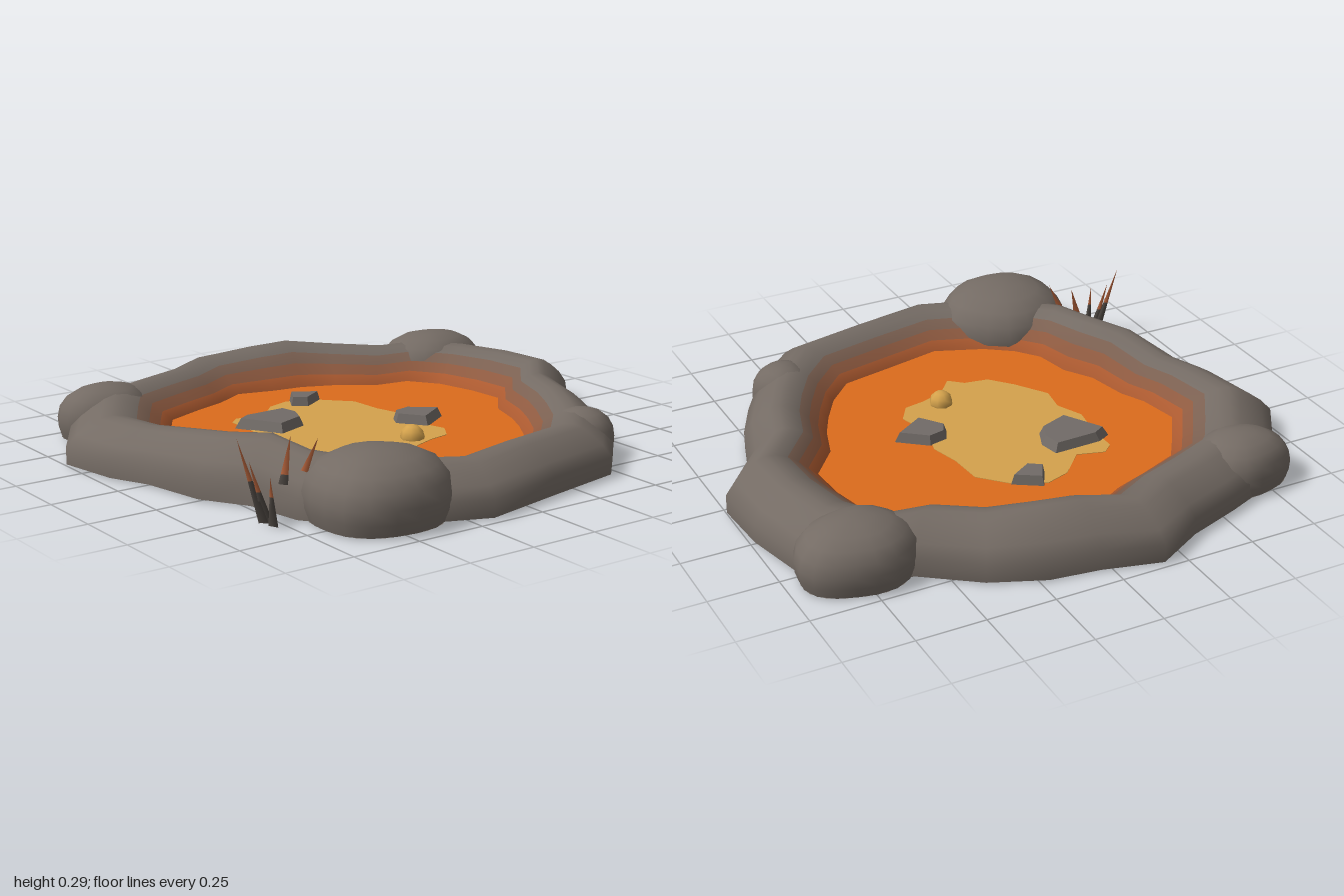
import * as THREE from 'three';
import { mergeVertices } from 'three/addons/utils/BufferGeometryUtils.js';

const material = (name, color, side = THREE.FrontSide) => {
  const m = new THREE.MeshStandardMaterial({ color, side });
  m.name = name;
  return m;
};

// Rim footprint: x, z and crest height, clockwise from the back
const OUTLINE = [
  [-0.17, -0.98, 0.17], [0.04, -0.925, 0.193], [0.22, -0.9, 0.2], [0.41, -0.82, 0.18], [0.6, -0.68, 0.172],
  [0.81, -0.65, 0.172], [0.93, -0.48, 0.172], [0.985, -0.25, 0.178], [1, -0.03, 0.18], [0.845, 0.16, 0.175],
  [0.78, 0.36, 0.17], [0.705, 0.51, 0.165], [0.6, 0.68, 0.162], [0.45, 0.835, 0.162], [0.14, 0.9, 0.165],
  [-0.175, 0.97, 0.16], [-0.45, 0.86, 0.17], [-0.6, 0.75, 0.18], [-0.7, 0.62, 0.19], [-0.74, 0.41, 0.213],
  [-0.84, 0.25, 0.2], [-0.89, 0.01, 0.175], [-0.957, -0.13, 0.168], [-1, -0.36, 0.165], [-0.87, -0.57, 0.165],
  [-0.77, -0.72, 0.165], [-0.55, -0.81, 0.165], [-0.35, -0.88, 0.165],
];
const LAVA_Y = 0.055;
// Rim cross-section: ratio of the distance from the centre, and height as a share
// of the crest (outer half) or of the step from lava to crest (inner half)
const SECTION = [
  [1, 0], [1, 0.38], [0.965, 0.62], [0.925, 0.8], [0.885, 0.94], [0.85, 1], [0.81, 0.96],
  [0.765, 0.8], [0.725, 0.55], [0.69, 0.28], [0.655, 0], [0.65, -0.27],
];
const BAND_MATERIAL = [0, 0, 0, 0, 0, 0, 0, 1, 2, 3, 4];

function flatShape(points, scale = 1) {
  return new THREE.Shape(points.map(([x, z]) => new THREE.Vector2(x * scale, -z * scale)));
}

// Sweeps the section round the outline; each band gets its own material index
function rimGeometry() {
  const n = OUTLINE.length, pos = [], index = [];
  const g = new THREE.BufferGeometry();
  for (const [k, h] of SECTION)
    for (const [x, z, top] of OUTLINE)
      pos.push(x * k, k < 0.85 ? LAVA_Y + (top - LAVA_Y) * h : top * h, z * k);
  BAND_MATERIAL.forEach((mat, j) => {
    const start = index.length;
    for (let i = 0; i < n; i++) {
      const a = j * n + i, b = j * n + (i + 1) % n;
      index.push(a, a + n, b, b, a + n, b + n);
    }
    g.addGroup(start, index.length - start, mat);
  });
  g.setAttribute('position', new THREE.Float32BufferAttribute(pos, 3));
  g.setIndex(index);
  g.computeVertexNormals();
  return g;
}

// Rounded, slightly uneven boulder with a flat base
function boulder(name, x, z, rx, rz, h, seed, mat) {
  const group = new THREE.Group();
  group.name = name;
  const profile = [[0.93, 0], [0.985, 0.18], [1, 0.38], [0.95, 0.6], [0.8, 0.79], [0.56, 0.92], [0.28, 0.985], [0, 1]];
  let g = new THREE.LatheGeometry(profile.map(p => new THREE.Vector2(...p)), 18);
  const warp = geo => {
    const p = geo.attributes.position;
    for (let i = 0; i < p.count; i++) {
      const a = Math.atan2(p.getZ(i), p.getX(i));
      const k = 1 + 0.025 * Math.sin(3 * a + seed) + 0.02 * Math.sin(5 * a + seed * 2);
      p.setXYZ(i, p.getX(i) * k * rx, p.getY(i) * h, p.getZ(i) * k * rz);
    }
  };
  g.deleteAttribute('uv');
  g.deleteAttribute('normal');
  g = mergeVertices(g);
  warp(g);
  g.computeVertexNormals();
  const base = new THREE.CircleGeometry(profile[0][0], 18).rotateX(Math.PI / 2);
  warp(base);
  group.add(new THREE.Mesh(g, mat), new THREE.Mesh(base, mat));
  group.position.set(x, 0, z);
  return group;
}

// Faceted slab with a bevelled top; the first group is a skirt below the lava
function slabGeometry(points, bottom, top) {
  const n = points.length;
  const cx = points.reduce((s, p) => s + p[0], 0) / n, cz = points.reduce((s, p) => s + p[1], 0) / n;
  const ring = (k, y) => points.map(([x, z]) => [cx + (x - cx) * k, y, cz + (z - cz) * k]);
  const rings = [ring(0.99, bottom), ring(1.02, LAVA_Y), ring(0.86, top), ring(0, top)];
  const pos = [], g = new THREE.BufferGeometry();
  for (let r = 0; r < 3; r++) {
    const [low, high] = [rings[r], rings[r + 1]];
    for (let i = 0; i < n; i++) {
      const j = (i + 1) % n;
      pos.push(...low[i], ...low[j], ...high[i]);
      if (r < 2) pos.push(...low[j], ...high[j], ...high[i]);
    }
  }
  // Corners run clockwise or not, so turn every face outwards
  const area = points.reduce((s, [x, z], i) => s + x * points[(i + 1) % n][1] - z * points[(i + 1) % n][0], 0);
  if (area > 0)
    for (let i = 0; i < pos.length; i += 9) pos.splice(i + 3, 6, ...pos.slice(i + 6, i + 9), ...pos.slice(i + 3, i + 6));
  g.setAttribute('position', new THREE.Float32BufferAttribute(pos, 3));
  g.addGroup(0, n * 6, 0);
  g.addGroup(n * 6, n * 9, 1);
  g.computeVertexNormals();
  return g;
}

// Thin blade: dark stem below, rusty tip above
function blade(base, tip, split, stemMat, tipMat) {
  const a = new THREE.Vector3(...base), b = new THREE.Vector3(...tip);
  const dir = b.clone().sub(a), len = dir.length(), r = 0.02;
  const group = new THREE.Group();
  group.name = 'grassBlade';
  const stem = new THREE.CylinderGeometry(r * (1 - split), r, len * split, 3).translate(0, len * split / 2, 0);
  const end = new THREE.ConeGeometry(r * (1 - split), len * (1 - split), 3).translate(0, len * (1 + split) / 2, 0);
  group.add(new THREE.Mesh(stem, stemMat), new THREE.Mesh(end, tipMat));
  group.position.copy(a);
  group.quaternion.setFromUnitVectors(new THREE.Vector3(0, 1, 0), dir.normalize());
  return group;
}

export function createModel() {
  const model = new THREE.Group();
  model.name = 'lavaPool';
  const D = THREE.DoubleSide;
  const rock = material('rock', 0x746b64, D);
  const warmRock = material('warmRock', 0x7b6051, D);
  const glowRock = material('glowRock', 0x8e5a40, D);
  const hotRock = material('hotRock', 0xac5a30, D);
  const lava = material('lava', 0xdc6c1c, D);
  const hotLava = material('hotLava', 0xd4a24c, D);
  const slabRock = material('slabRock', 0x716b67, D);
  const stemMat = material('charredStem', 0x4b4540);
  const tipMat = material('rustyTip', 0xb0603a);
  const add = (name, geometry, mat) => {
    const m = new THREE.Mesh(geometry, mat);
    m.name = name;
    model.add(m);
    return m;
  };

  add('rim', rimGeometry(), [rock, warmRock, glowRock, hotRock, lava]);

  // Lava sheet reaching under the rim, with a hotter patch in the middle
  add('lavaSurface', new THREE.ShapeGeometry(flatShape(OUTLINE, 0.73)).rotateX(-Math.PI / 2), lava).position.y = LAVA_Y;
  const patch = [
    [-0.35, -0.31], [-0.31, -0.345], [-0.21, -0.315], [-0.12, -0.41], [-0.03, -0.44], [0.085, -0.39], [0.18, -0.29],
    [0.19, -0.16], [0.22, -0.05], [0.19, 0.08], [0.225, 0.2], [0.18, 0.27], [0.1, 0.285], [0.01, 0.32], [-0.05, 0.39],
    [-0.1, 0.345], [-0.19, 0.33], [-0.26, 0.25], [-0.34, 0.13], [-0.325, 0.03], [-0.37, -0.07], [-0.35, -0.19],
  ];
  add('hotPatch', new THREE.ExtrudeGeometry(flatShape(patch), { depth: 0.004, bevelEnabled: false })
    .rotateX(-Math.PI / 2), hotLava).position.y = LAVA_Y - 0.002;

  // Floating slabs and a bubble
  const slabs = [
    [[-0.38, -0.24], [-0.33, -0.27], [-0.15, -0.275], [-0.135, -0.2], [-0.165, -0.125], [-0.285, -0.08]],
    [[0.125, 0.045], [0.15, -0.005], [0.22, -0.02], [0.32, 0.06], [0.195, 0.14]],
    [[-0.05, -0.37], [-0.005, -0.45], [0.09, -0.39], [0, -0.335]],
  ];
  for (const pts of slabs) add('floatingSlab', slabGeometry(pts, LAVA_Y - 0.02, LAVA_Y + 0.036), [hotLava, slabRock]);
  add('bubble', new THREE.SphereGeometry(0.044, 8, 6), hotLava).position.set(0.05, LAVA_Y + 0.01, 0.24);

  // Boulders set into the rim
  model.add(
    boulder('frontBoulder', -0.465, 0.735, 0.25, 0.235, 0.23, 1, rock),
    boulder('backLeftBoulder', 0.75, -0.56, 0.215, 0.175, 0.2, 2.2, rock),
    boulder('backRightBoulder', -0.685, -0.635, 0.18, 0.145, 0.185, 4, rock),
    boulder('smallBoulder', 0.53, 0.59, 0.115, 0.12, 0.17, 0.4, rock),
  );

  // Scorched grass beside the front boulder: foot, tip, share of dark stem
  const blades = [
    [[-0.79, 0, 0.57], [-0.875, 0.28, 0.545], 0.5], [[-0.78, 0, 0.58], [-0.85, 0.21, 0.575], 0.5],
    [[-0.785, 0, 0.62], [-0.82, 0.17, 0.65], 0.6], [[-0.7, 0.1, 0.55], [-0.655, 0.25, 0.52], 0.2],
    [[-0.66, 0.1, 0.58], [-0.595, 0.25, 0.59], 0.2],
  ];
  for (const [a, b, split] of blades) model.add(blade(a, b, split, stemMat, tipMat));
  return model;
}
